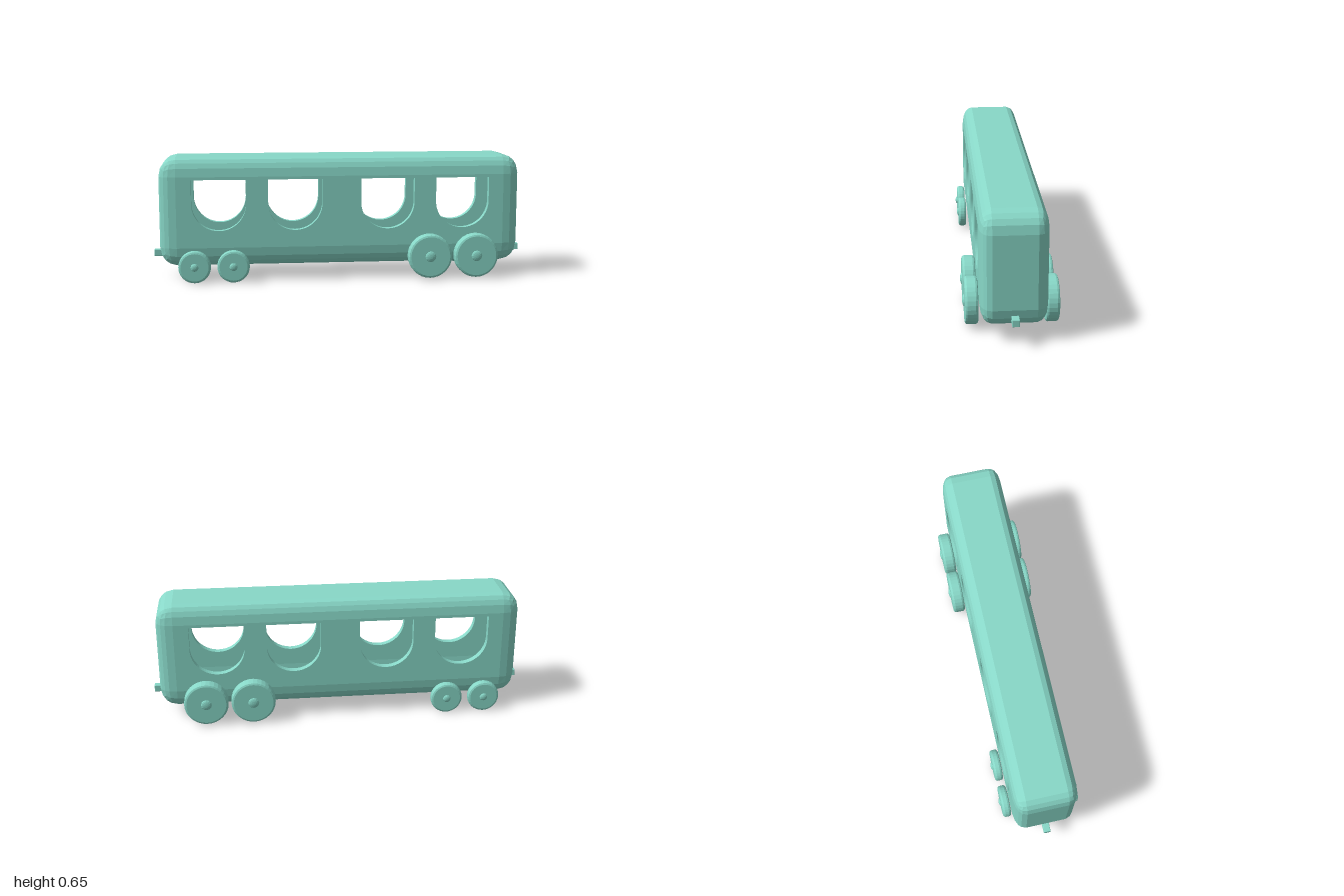
import * as THREE from 'three';
import { RoundedBoxGeometry } from 'three/addons/geometries/RoundedBoxGeometry.js';

const material = new THREE.MeshStandardMaterial({ color: 0x88d8c8, flatShading: true });

// Body: straight half-lengths plus corner radii on each axis
const CENTRE_Y = 0.3675;
const FLAT = [0.87, 0.1875, 0.106];
const RADIUS = [0.09, 0.1, 0.057];
const WALL = 0.035;

function addMesh(parent, name, geometry) {
  const mesh = new THREE.Mesh(geometry, material);
  mesh.name = name;
  parent.add(mesh);
  return mesh;
}

// Rounded box with elliptical corners and its two flat z sides left open
function shellGeometry(radii, inward) {
  const src = new RoundedBoxGeometry(2, 2, 2, 2, 0.5).getAttribute('position');
  const out = [];
  for (let i = 0; i < src.count; i += 3) {
    const tri = [0, 1, 2].map((k) => new THREE.Vector3().fromBufferAttribute(src, i + k));
    if (tri.every((p) => Math.abs(p.z) > 0.9999)) continue;
    if (inward) tri.reverse();
    for (const p of tri) {
      p.toArray().forEach((v, axis) => {
        const core = Math.min(Math.abs(v), 0.5) / 0.5;
        const round = Math.max(Math.abs(v) - 0.5, 0) / 0.5;
        out.push(Math.sign(v) * (core * FLAT[axis] + round * radii[axis]));
      });
    }
  }
  const geometry = new THREE.BufferGeometry();
  geometry.setAttribute('position', new THREE.Float32BufferAttribute(out, 3));
  geometry.computeVertexNormals();
  return geometry;
}

// Flat side wall with four round-bottomed windows
function sidePanelGeometry() {
  const [w, h] = FLAT;
  const shape = new THREE.Shape();
  shape.moveTo(-w, -h).lineTo(w, -h).lineTo(w, h).lineTo(-w, h).closePath();
  const top = 0.54 - CENTRE_Y;
  const r = 0.143;
  const arcY = 0.27 + r - CENTRE_Y;
  for (const x of [-0.648, -0.246, 0.246, 0.648]) {
    const hole = new THREE.Path();
    hole.moveTo(x - r, top);
    hole.lineTo(x - r, arcY);
    hole.absarc(x, arcY, r, Math.PI, Math.PI * 2, false);
    hole.lineTo(x + r, top);
    hole.closePath();
    shape.holes.push(hole);
  }
  return new THREE.ExtrudeGeometry(shape, { depth: WALL, bevelEnabled: false, curveSegments: 20 });
}

// Wheel with softened edges and a domed hub, facing +z from z = 0
function createWheel(radius, width, hubRadius) {
  const wheel = new THREE.Group();
  const b = 0.012;
  const profile = [
    [0, 0], [radius - b, 0], [radius - b * 0.3, b * 0.3], [radius, b],
    [radius, width - b], [radius - b * 0.3, width - b * 0.3], [radius - b, width], [0, width],
  ].map(([x, y]) => new THREE.Vector2(x, y));
  addMesh(wheel, 'tyre', new THREE.LatheGeometry(profile, 32).rotateX(Math.PI / 2));
  const hub = addMesh(wheel, 'hub',
    new THREE.SphereGeometry(hubRadius, 12, 4, 0, Math.PI * 2, 0, Math.PI / 2).rotateX(Math.PI / 2));
  hub.scale.z = 0.01 / hubRadius;
  hub.position.z = width;
  return wheel;
}

export function createModel() {
  const model = new THREE.Group();
  model.name = 'carriage';

  // Hollow body
  const body = new THREE.Group();
  body.name = 'body';
  body.position.y = CENTRE_Y;
  model.add(body);
  addMesh(body, 'outerShell', shellGeometry(RADIUS, false));
  addMesh(body, 'innerShell', shellGeometry(RADIUS.map((r) => r - WALL), true));
  const panel = sidePanelGeometry();
  const outerZ = FLAT[2] + RADIUS[2];
  addMesh(body, 'leftWindowPanel', panel).position.z = outerZ - WALL;
  addMesh(body, 'rightWindowPanel', panel).position.z = -outerZ;

  // Couplers at both ends
  for (const side of [-1, 1]) {
    const coupler = addMesh(model, 'coupler', new RoundedBoxGeometry(0.07, 0.036, 0.036, 1, 0.003));
    coupler.position.set(side * 0.965, 0.132, 0);
  }

  // Two small and two large wheels on each side
  const axles = [
    { x: -0.778, radius: 0.085, width: 0.044, hub: 0.021 },
    { x: -0.575, radius: 0.085, width: 0.044, hub: 0.021 },
    { x: 0.469, radius: 0.117, width: 0.065, hub: 0.029 },
    { x: 0.718, radius: 0.117, width: 0.065, hub: 0.029 },
  ];
  for (const { x, radius, width, hub } of axles) {
    for (const side of [-1, 1]) {
      const wheel = createWheel(radius, width, hub);
      wheel.name = radius > 0.1 ? 'largeWheel' : 'smallWheel';
      wheel.position.set(x, radius > 0.1 ? 0.124 : radius, side * outerZ);
      if (side < 0) wheel.rotation.y = Math.PI;
      model.add(wheel);
    }
  }
  return model;
}
